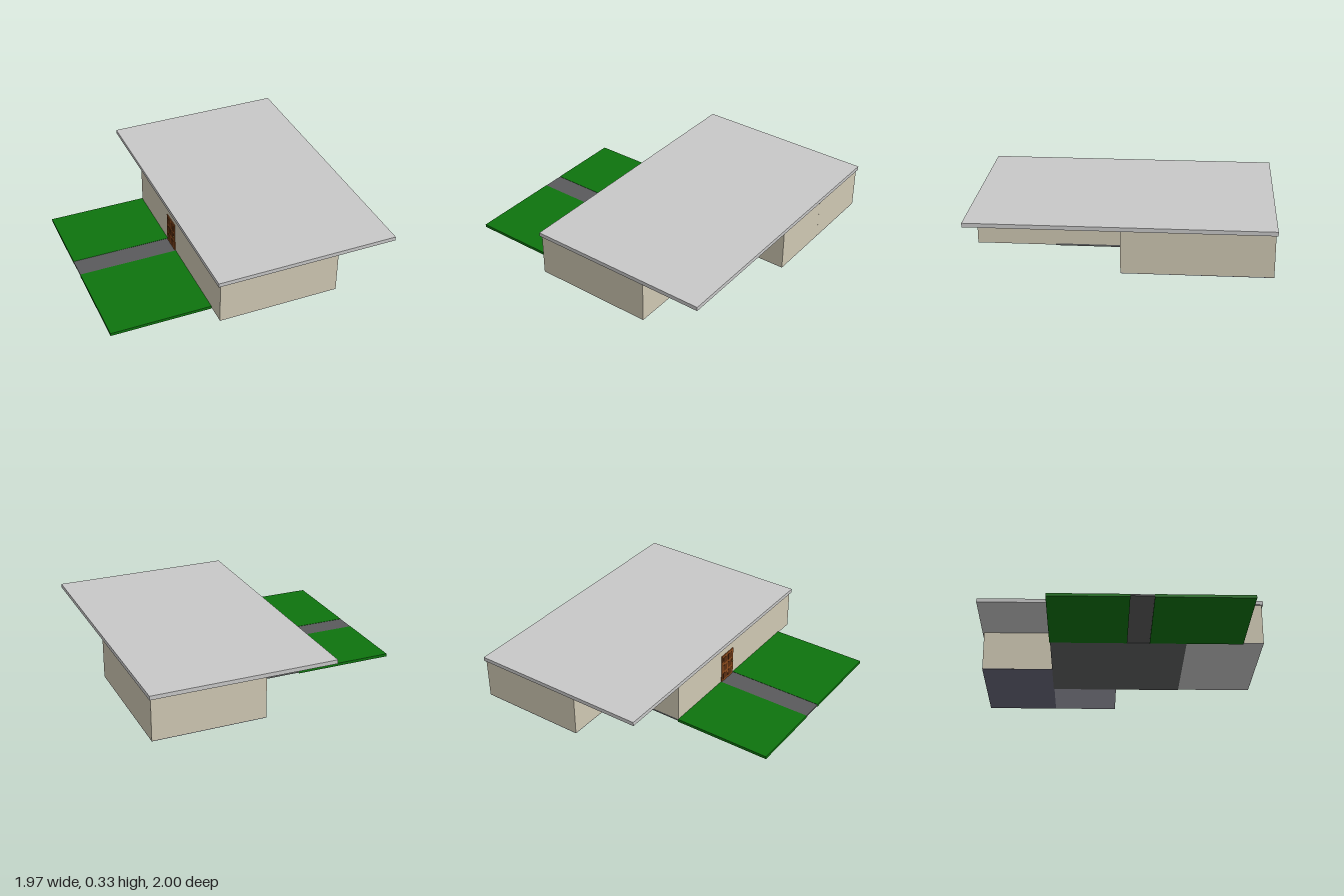
import * as THREE from 'three';

const mat = (name, color) => {
  const m = new THREE.MeshStandardMaterial({ color });
  m.name = name;
  return m;
};

export function createModel() {
  const house = new THREE.Group();
  house.name = 'house';

  const wall = mat('beige wall', 0xcfc8b3);
  const roof = mat('light grey roof', 0xc8c8c8);
  const grass = mat('grass green', 0x0e740e);
  const paving = mat('path grey', 0x5a5a5c);
  const hallFloor = mat('dark floor', 0x606262);
  const slateFloor = mat('slate floor', 0x6a6a7c);
  const paleFloor = mat('pale slate floor', 0xa6a6b2);
  const wood = mat('door wood', 0x8b4a1c);
  const darkWood = mat('dark door wood', 0x5c2e10);
  const metal = mat('handle metal', 0xb09040);

  // Box given by its limits along each axis
  const block = (parent, name, material, [x0, x1], [y0, y1], [z0, z1]) => {
    const mesh = new THREE.Mesh(new THREE.BoxGeometry(x1 - x0, y1 - y0, z1 - z0), material);
    mesh.position.set((x0 + x1) / 2, (y0 + y1) / 2, (z0 + z1) / 2);
    mesh.name = name;
    parent.add(mesh);
    return mesh;
  };

  // Rooms: walls standing on a floor slab
  const rooms = [
    ['frontRoom', roof, [-0.285, 0.56], [0.46, 0.992]],
    ['hall', hallFloor, [-0.285, 0.56], [-0.48, 0.46]],
    ['sideRoom', paleFloor, [0.56, 0.975], [-0.475, -0.01]],
    ['backRoom', slateFloor, [0.2, 0.975], [-0.988, -0.475]],
  ];
  for (const [name, floor, x, z] of rooms) {
    const room = new THREE.Group();
    room.name = name;
    const dark = name === 'hall';
    block(room, name + 'Floor', floor, x, [dark ? 0.004 : 0.008, 0.018], z);
    block(room, name + 'Walls', wall, x, [dark ? 0.018 : 0.012, 0.302],
      z).scale.set(1.001, 1, 1.001);
    house.add(room);
  }

  // Flat overhanging roof
  block(house, 'roof', roof, [-0.3, 0.985], [0.3, 0.328], [-1, 1]);

  // Front garden with a path to the door
  const yardX = [-0.985, -0.286];
  block(house, 'lawnBack', grass, yardX, [0, 0.02], [-0.485, 0.05]);
  block(house, 'lawnFront', grass, yardX, [0, 0.02], [0.205, 0.85]);
  block(house, 'path', paving, yardX, [0.007, 0.018], [0.05, 0.205]);

  // Panelled door with a handle
  const door = new THREE.Group();
  door.name = 'door';
  block(door, 'doorLeaf', wood, [-0.291, -0.285], [0.018, 0.235], [0.053, 0.197]);
  for (let row = 0; row < 3; row++) {
    for (let col = 0; col < 2; col++) {
      const y = 0.034 + row * 0.067;
      const z = 0.07 + col * 0.06;
      block(door, 'doorPanel', darkWood, [-0.2925, -0.29], [y, y + 0.048], [z, z + 0.048]);
    }
  }
  const handle = new THREE.Mesh(new THREE.SphereGeometry(0.005, 10, 8), metal);
  handle.name = 'doorHandle';
  handle.position.set(-0.293, 0.128, 0.185);
  door.add(handle);
  house.add(door);

  return house;
}
